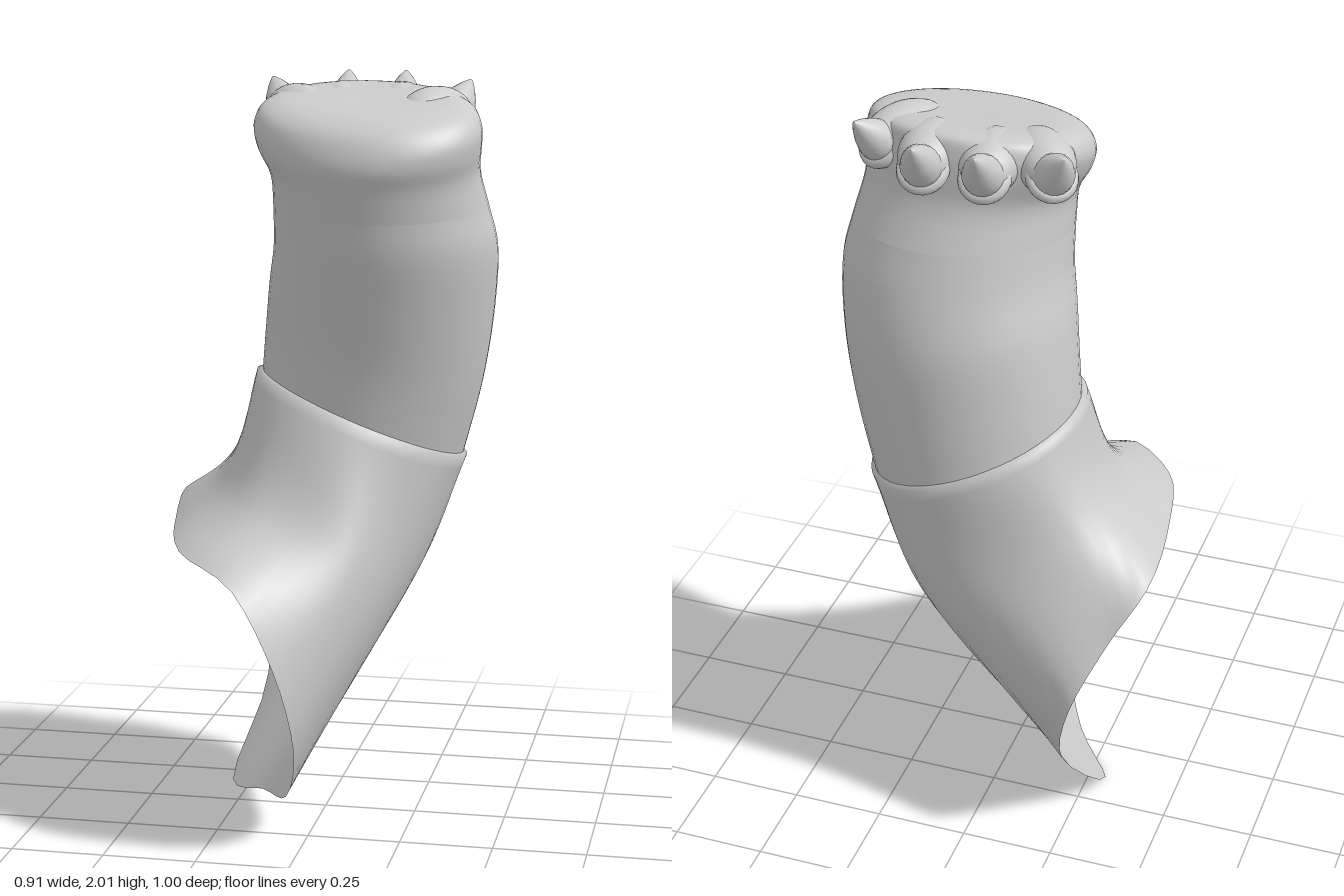
import * as THREE from 'three';

const SEG = 48;
const V = (p) => new THREE.Vector3(...p);
const material = new THREE.MeshStandardMaterial({ color: 0xcccccc, side: THREE.DoubleSide });

function addMesh(parent, name, geometry) {
  const mesh = new THREE.Mesh(geometry, material);
  mesh.name = name;
  parent.add(mesh);
  return mesh;
}

// Skin over a stack of closed rings, ordered from bottom to top
function loft(rings) {
  const index = [];
  for (let i = 0; i < rings.length - 1; i++) {
    for (let j = 0; j < SEG; j++) {
      const k = (j + 1) % SEG;
      const a = i * SEG + j, b = i * SEG + k, c = a + SEG, d = b + SEG;
      index.push(a, c, b, b, c, d);
    }
  }
  const geometry = new THREE.BufferGeometry().setFromPoints(rings.flat());
  geometry.setIndex(index);
  geometry.computeVertexNormals();
  return geometry;
}

// Tilted, sheared ellipse: height, centre, radii, slope along x and z, shear
function ring([y, cx, cz, rx, rz, tx = 0, tz = 0, shear = 0]) {
  return Array.from({ length: SEG }, (_, j) => {
    const a = (j / SEG) * Math.PI * 2;
    const dx = rx * Math.cos(a), dz = rz * Math.sin(a);
    return new THREE.Vector3(cx + dx + shear * dz, y + tx * dx + tz * (cz + dz), cz + dz);
  });
}

function closedRing(points) {
  const curve = new THREE.CatmullRomCurve3(points.map(V), true);
  return Array.from({ length: SEG }, (_, j) => curve.getPoint(j / SEG));
}

// Smooth extra rings between key rings, column by column
function refine(keys, steps) {
  const columns = keys[0].map((_, j) => new THREE.CatmullRomCurve3(keys.map((k) => k[j])));
  return Array.from({ length: steps + 1 }, (_, i) => columns.map((c) => c.getPoint(i / steps)));
}

export function createModel() {
  const group = new THREE.Group();
  group.name = 'creatureLimb';

  // Flared upper limb, open where it would join the body
  const rim = closedRing([
    [-0.18, 0.03, 0.0], [-0.06, 0.1, 0.25], [0, 0.3, 0.44], [-0.04, 0.52, 0.5],
    [-0.15, 0.72, 0.48], [-0.34, 0.77, 0.28], [-0.42, 0.8, 0.0], [-0.455, 0.81, -0.33],
    [-0.38, 0.68, -0.42], [-0.3, 0.5, -0.5], [-0.25, 0.25, -0.4], [-0.3, 0.0, -0.15],
  ]);
  const middle = closedRing([
    [0.235, 0.65, -0.12], [0.2, 0.67, 0.12], [0.1, 0.78, 0.27], [-0.15, 0.88, 0.22],
    [-0.28, 0.93, 0.0], [-0.27, 0.95, -0.3], [-0.05, 0.8, -0.41], [0.15, 0.68, -0.36],
  ]);
  const cuff = ring([1.1, 0.075, -0.14, 0.288, 0.283, -0.4, 0.08]);
  const cuffLip = ring([1.11, 0.077, -0.14, 0.272, 0.266, -0.4, 0.08]);
  addMesh(group, 'upperLimb', loft([...refine([rim, middle, cuff], 20), cuffLip]));

  // Lower limb from the cuff to the wrist
  const wrist = [1.66, 0.142, -0.04, 0.287, 0.28, 0, -0.08];
  const lower = [
    [1.09, 0.075, -0.14, 0.275, 0.27, -0.4, 0.08],
    [1.25, 0.11, -0.125, 0.297, 0.277, -0.22, 0],
    [1.42, 0.135, -0.1, 0.305, 0.292, -0.1, 0],
    [1.56, 0.15, -0.065, 0.3, 0.29, 0, -0.04],
    wrist,
  ].map(ring);
  addMesh(group, 'lowerLimb', loft(refine(lower, 20)));

  // Paw with a sloping, rounded sole
  const paw = [
    wrist,
    [1.76, 0.13, -0.01, 0.28, 0.268, 0, -0.15, 0.05],
    [1.83, 0.115, 0, 0.3, 0.272, 0, -0.2, 0.13],
    [1.88, 0.11, 0, 0.305, 0.265, 0, -0.22, 0.18],
    [1.92, 0.11, -0.005, 0.287, 0.245, 0, -0.22, 0.18],
    [1.94, 0.11, -0.01, 0.24, 0.2, 0, -0.2, 0.18],
    [1.944, 0.11, -0.015, 0.13, 0.11, 0, -0.18, 0.18],
    [1.945, 0.11, -0.015, 0.001, 0.001],
  ].map(ring);
  addMesh(group, 'paw', loft(refine(paw, 36)));

  // Four toes, each with a collar and a pointed claw
  const toes = [
    { base: [-0.155, 1.905, -0.22], tip: [-0.205, 1.985, -0.29] },
    { base: [0.0, 1.91, -0.29], tip: [-0.01, 2.0, -0.385] },
    { base: [0.16, 1.91, -0.29], tip: [0.15, 2.0, -0.385] },
    { base: [0.315, 1.905, -0.18], tip: [0.35, 1.985, -0.255] },
  ];
  const clawProfile = [[0.035, -0.035], [0.053, -0.01], [0.052, 0.02], [0.04, 0.06], [0.022, 0.1], [0.006, 0.128], [0, 0.132]]
    .map(([r, h]) => new THREE.Vector2(r, h));
  for (const { base, tip } of toes) {
    const b = V(base), t = V(tip);
    const length = b.distanceTo(t);
    const direction = t.clone().sub(b).normalize();
    const toe = new THREE.Group();
    toe.name = 'toe';
    toe.position.copy(b);
    toe.quaternion.setFromUnitVectors(new THREE.Vector3(0, 1, 0), direction);
    group.add(toe);

    addMesh(toe, 'claw', new THREE.LatheGeometry(clawProfile, 20).scale(1, length / 0.132, 1));
    const collar = addMesh(toe, 'clawCollar', new THREE.TorusGeometry(0.05, 0.018, 10, 24));
    collar.rotation.x = Math.PI / 2;
    collar.position.y = -0.015;

    // Fleshy toe running back into the paw
    const flat = new THREE.Vector3(direction.x, 0, direction.z).normalize();
    const flesh = addMesh(group, 'toeFlesh', new THREE.SphereGeometry(1, 24, 16));
    flesh.scale.set(0.08, 0.072, 0.13);
    flesh.position.copy(b).addScaledVector(flat, -0.09);
    flesh.rotation.y = Math.atan2(flat.x, flat.z);
  }
  return group;
}
